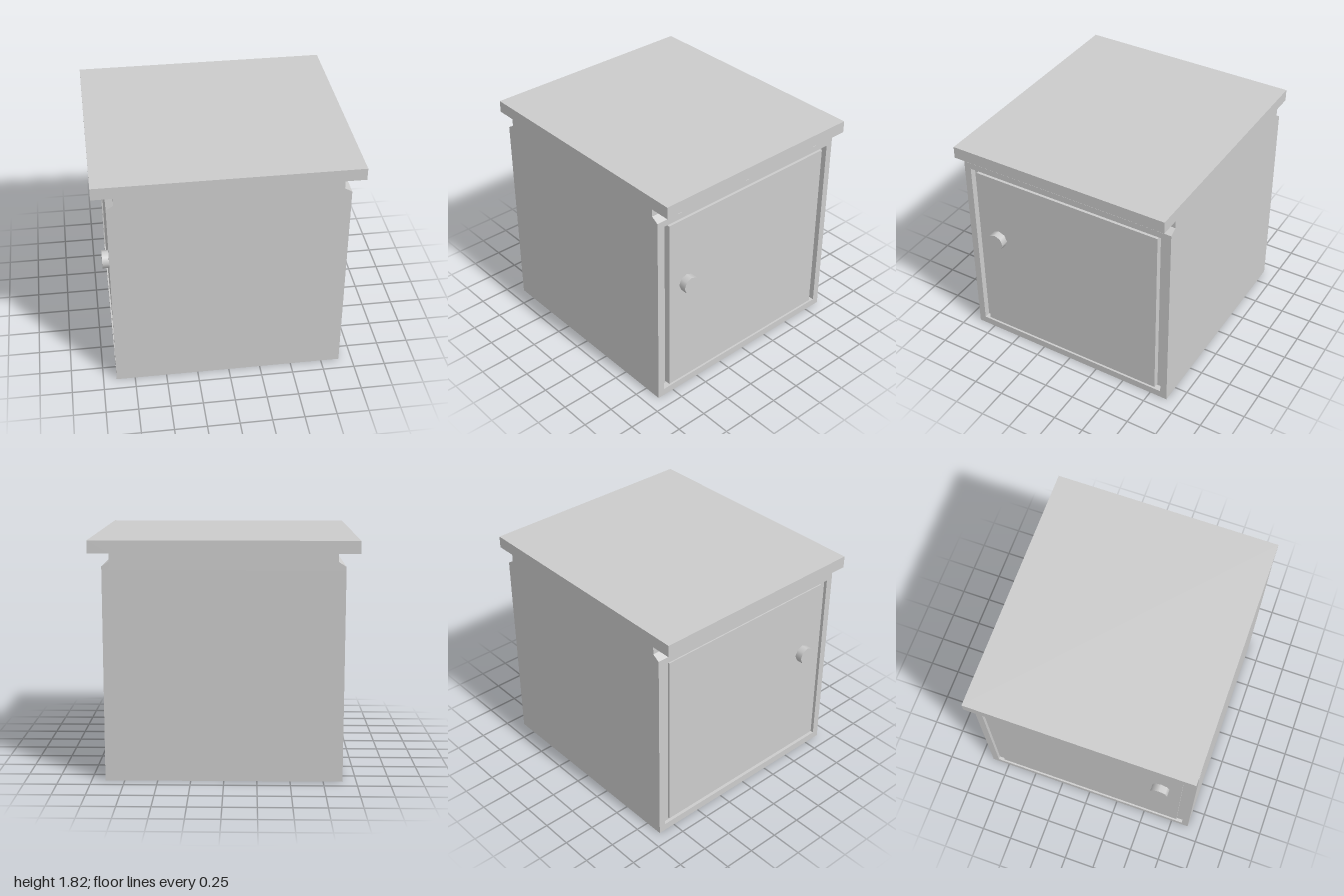
import * as THREE from 'three';

const HALF = 0.896;      // half width of the body, half depth of everything
const FRAME_TOP = 1.6;
// Per side: groove floor, door face and knob end, measured out from the centre
const SIDES = [
  { name: 'left', s: 1, floor: 0.846, door: 0.896, knob: 0.957 },
  { name: 'right', s: -1, floor: 0.87, door: 0.886, knob: 0.944 },
];

function rect(path, w, y0, y1) {
  path.moveTo(-w, y0);
  path.lineTo(w, y0);
  path.lineTo(w, y1);
  path.lineTo(-w, y1);
  path.closePath();
  return path;
}

export function createModel() {
  const group = new THREE.Group();
  const material = new THREE.MeshStandardMaterial({ color: 0xcccccc });
  const add = (name, geometry, parent = group) => {
    const mesh = new THREE.Mesh(geometry, material);
    mesh.name = name;
    parent.add(mesh);
    return mesh;
  };

  // Body with bevelled shoulders, narrow neck and overhanging top
  const outline = (floor) => [
    [floor, 0], [floor, FRAME_TOP], [HALF, FRAME_TOP], [HALF, 1.63],
    [0.84, 1.665], [0.84, 1.725], [1, 1.725], [1, 1.82],
  ];
  const points = [
    ...outline(SIDES[0].floor),
    ...outline(SIDES[1].floor).map(([x, y]) => [-x, y]).reverse(),
  ].map(([x, y]) => new THREE.Vector2(x, y));
  const body = new THREE.ExtrudeGeometry(new THREE.Shape(points), { depth: 2 * HALF, bevelEnabled: false });
  add('cabinetBody', body.translate(0, 0, -HALF));

  for (const { name, s, floor, door, knob } of SIDES) {
    const side = new THREE.Group();
    side.name = name + 'Side';
    group.add(side);

    // Frame around the door opening
    const shape = rect(new THREE.Shape(), HALF, 0, FRAME_TOP);
    shape.holes.push(rect(new THREE.Path(), 0.84, 0.06, 1.58));
    const frame = add(name + 'DoorFrame',
      new THREE.ExtrudeGeometry(shape, { depth: HALF - floor, bevelEnabled: false }), side);
    frame.rotation.y = s * Math.PI / 2;
    frame.position.x = s * floor;

    // Door panel, standing in the groove
    const panel = add(name + 'Door', new THREE.BoxGeometry(door - floor, 1.48, 1.575), side);
    panel.position.set(s * (door + floor) / 2, 0.82, 0);

    // Eight-sided knob near the front edge
    const handle = add(name + 'Knob', new THREE.CylinderGeometry(0.07, 0.07, knob - door, 8), side);
    handle.rotation.z = Math.PI / 2;
    handle.position.set(s * (knob + door) / 2, 0.99, 0.62);
  }
  return group;
}
